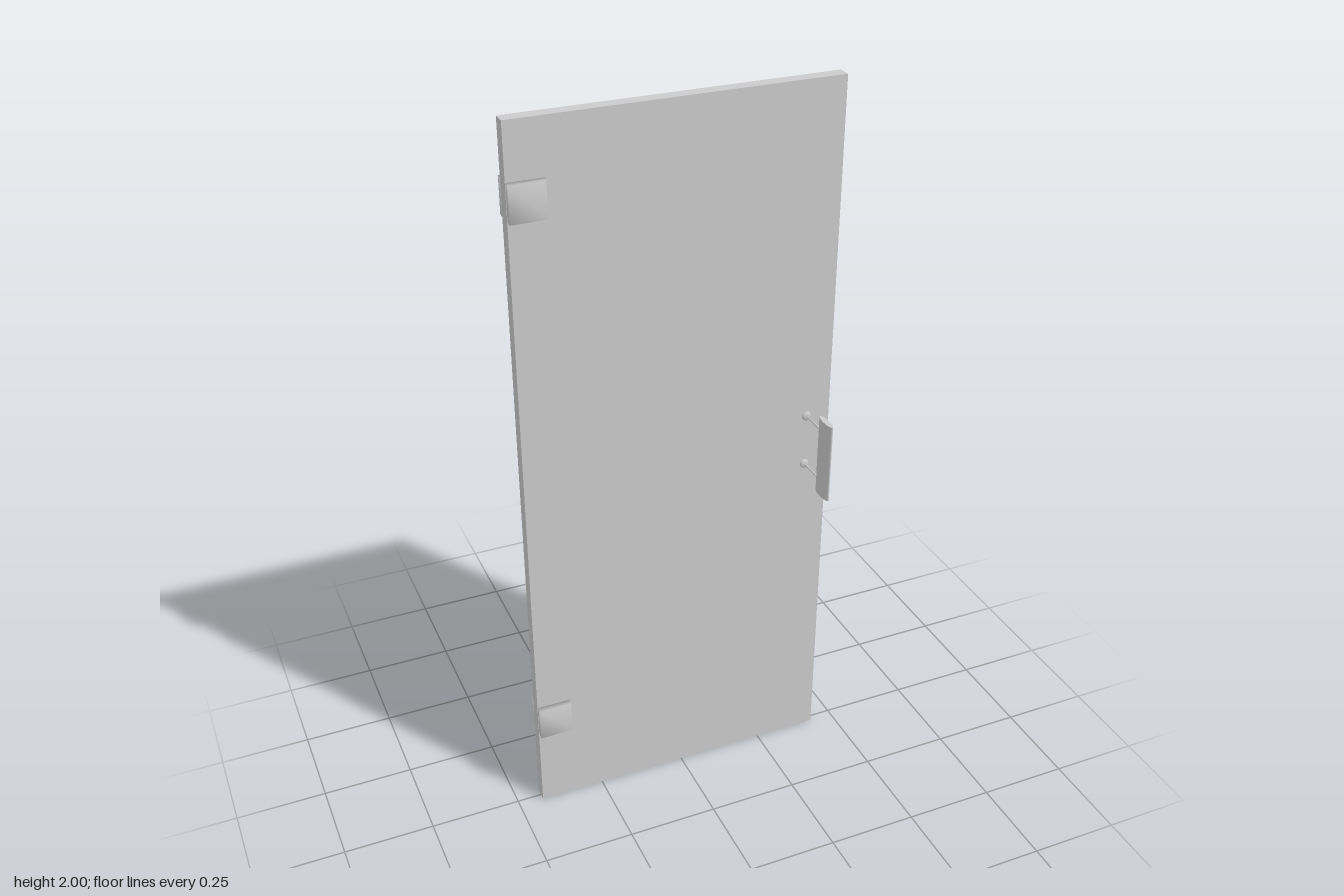
import * as THREE from 'three';
import { mergeVertices } from 'three/addons/utils/BufferGeometryUtils.js';

const grey = new THREE.MeshStandardMaterial({ color: 0xcccccc });

function add(parent, name, geometry, x, y, z) {
  const mesh = new THREE.Mesh(geometry, grey);
  mesh.name = name;
  mesh.position.set(x, y, z);
  parent.add(mesh);
  return mesh;
}

// Hinge plate with a bevelled free end and softly blended normals
function hingePlateGeometry() {
  const profile = new THREE.Shape([
    [-0.0475, 0], [0.0475, 0], [0.044, 0.0175], [-0.0475, 0.019],
  ].map(([x, z]) => new THREE.Vector2(x, -z)).reverse());
  let g = new THREE.ExtrudeGeometry(profile, { depth: 0.095, bevelEnabled: false });
  g.translate(0, 0, -0.0475);
  g.rotateX(-Math.PI / 2);
  g.deleteAttribute('normal');
  g.deleteAttribute('uv');
  g = mergeVertices(g);
  g.computeVertexNormals();
  return g;
}

export function createModel() {
  const door = new THREE.Group();
  door.name = 'door';

  add(door, 'panel', new THREE.BoxGeometry(0.862, 2, 0.036), 0, 1, 0);

  const plate = hingePlateGeometry();
  const grip = new THREE.CylinderGeometry(1, 1, 0.225, 32);
  grip.scale(0.0085, 1, 0.0345);
  const rod = new THREE.CylinderGeometry(0.0025, 0.0025, 0.082, 12);
  rod.rotateX(Math.PI / 2);
  const boss = new THREE.LatheGeometry([
    [0.0125, -0.002], [0.0125, 0.003], [0.010, 0.006], [0.005, 0.007], [0, 0.007],
  ].map(([r, h]) => new THREE.Vector2(r, h)), 20);
  boss.rotateX(Math.PI / 2);

  // The same hardware on both faces of the panel
  for (const side of [1, -1]) {
    const hardware = new THREE.Group();
    hardware.name = side > 0 ? 'frontHardware' : 'backHardware';
    door.add(hardware);

    for (const y of [0.288, 1.808]) {
      const hinge = add(hardware, 'hingePlate', plate, -0.3825, y, side * 0.0175);
      if (side < 0) hinge.rotation.x = Math.PI;
    }

    add(hardware, 'handleGrip', grip, 0.364, 1.008, side * 0.1275);
    for (const y of [0.934, 1.082]) {
      add(hardware, 'handleRod', rod, 0.364, y, side * 0.058);
      const cap = add(hardware, 'handleBoss', boss, 0.364, y, side * 0.018);
      if (side < 0) cap.rotation.x = Math.PI;
    }
  }
  return door;
}
